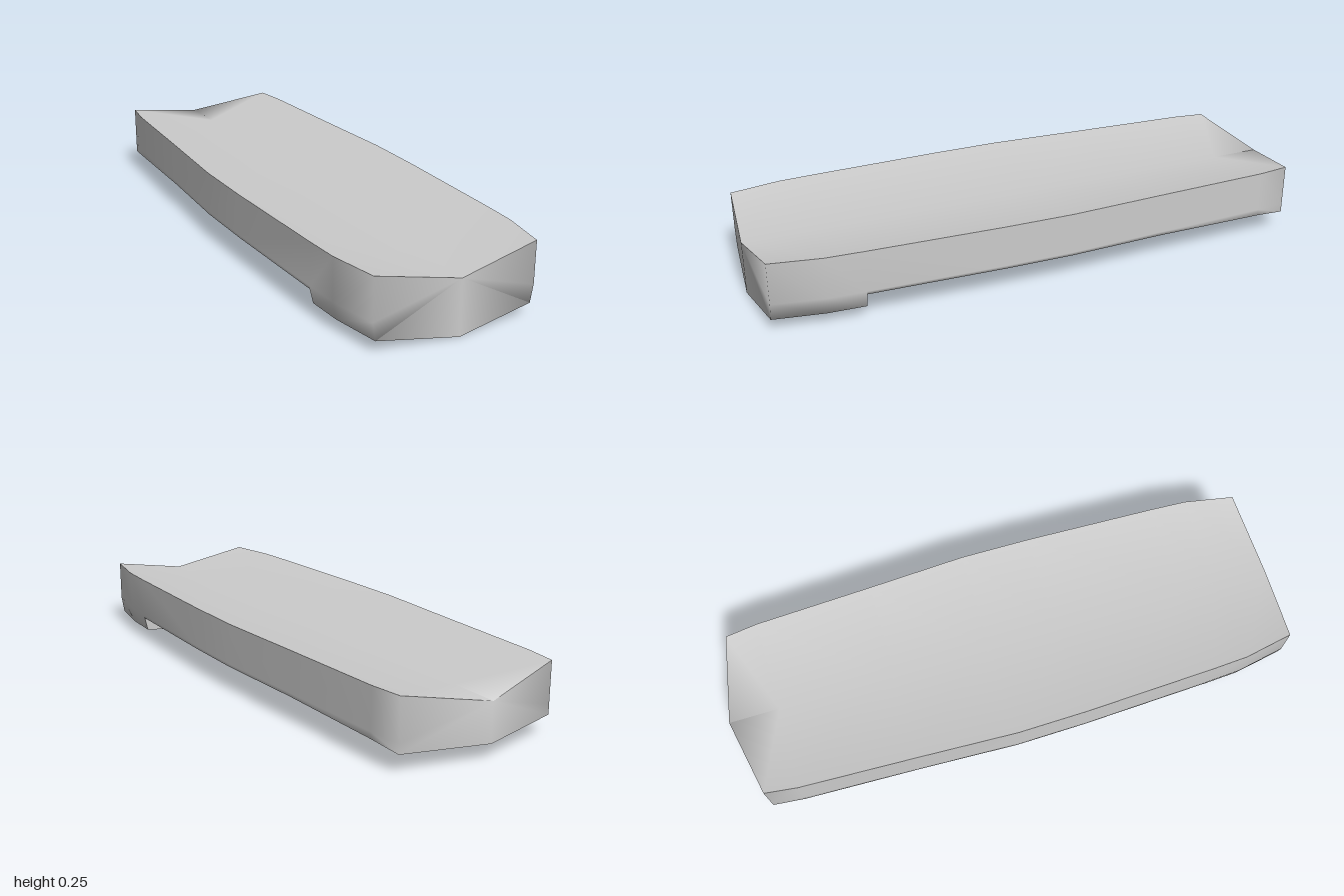
import * as THREE from 'three';
import { toCreasedNormals } from 'three/addons/utils/BufferGeometryUtils.js';

const material = new THREE.MeshStandardMaterial({ color: 0xcccccc });
const thin = new THREE.MeshStandardMaterial({ color: 0xcccccc, side: THREE.DoubleSide });

// Cross-sections from back to front: z, centre z, half width, chine inset, chine y, keel y
const stations = [
  [-0.935, -1, 0.295, 0, 0.065, 0.055],
  [-0.82, -0.82, 0.31, 0, 0.078, 0.055],
  [-0.4, -0.4, 0.328, 0, 0.088, 0.055],
  [-0.05, -0.05, 0.345, 0, 0.09, 0.055],
  [0.2, 0.2, 0.342, 0, 0.09, 0.055],
  [0.67, 0.67, 0.325, 0, 0.09, 0.055],
  [0.67, 0.67, 0.325, 0.012, 0.04, 0], // step down to the front skirt
  [0.8, 0.8, 0.318, 0.012, 0.04, 0],
  [0.975, 1, 0.285, 0.01, 0.04, 0],
];

// Shallow V-shaped body, lofted through the stations and capped at both ends
function bodyGeometry() {
  const pos = [], idx = [], n = 8;
  for (const [z, cz, w, inset, chineY, keelY] of stations) {
    const side = [[w, 0.245], [w, 0.1], [w - inset, chineY]];
    pos.push(0, 0.19, cz);
    for (const [x, y] of side) pos.push(x, y, z);
    pos.push(0, keelY, cz);
    for (const [x, y] of side.reverse()) pos.push(-x, y, z);
  }
  const last = (stations.length - 1) * n;
  for (let s = 0; s < last; s += n) {
    for (let j = 0; j < n; j++) {
      const k = (j + 1) % n;
      const a = s + j, b = s + k, c = s + n + k, d = s + n + j;
      // diagonals mirrored about the centre line
      if (j < n / 2) idx.push(a, d, b, b, d, c);
      else idx.push(a, d, c, a, c, b);
    }
  }
  for (let j = 1; j < n - 1; j++) {
    idx.push(0, j, j + 1);
    idx.push(last, last + j + 1, last + j);
  }
  const g = new THREE.BufferGeometry();
  g.setAttribute('position', new THREE.Float32BufferAttribute(pos, 3));
  g.setIndex(idx);
  return toCreasedNormals(g, 1.553);
}

// Straight square bar between two points
function bar(from, to, size) {
  const length = from.distanceTo(to);
  const mesh = new THREE.Mesh(new THREE.BoxGeometry(size, size, length), material);
  mesh.position.copy(from).add(to).multiplyScalar(0.5);
  mesh.lookAt(to);
  return mesh;
}

export function createModel() {
  const model = new THREE.Group();
  model.name = 'board';

  const body = new THREE.Mesh(bodyGeometry(), material);
  body.name = 'body';
  model.add(body);

  // Five rails under the body, bent up at the back, each with a small fin
  const rails = [[-0.22, 0.07], [-0.11, 0.04], [0, 0.031], [0.11, 0.04], [0.22, 0.07]];
  for (const [x, y] of rails) {
    const front = new THREE.Vector3(x, y, 0.68);
    const bend = new THREE.Vector3(x, y - 0.014, -0.885);
    const tip = new THREE.Vector3(x, y + 0.026, -0.92);
    const rail = new THREE.Group();
    rail.name = 'rail';
    rail.add(bar(front, bend, 0.011), bar(bend, tip, 0.011));
    model.add(rail);

    const shape = new THREE.Shape([
      new THREE.Vector2(0.05, 0.02),
      new THREE.Vector2(-0.045, 0.02),
      new THREE.Vector2(-0.04, -0.02),
    ]);
    const fin = new THREE.Mesh(new THREE.ShapeGeometry(shape), thin);
    fin.name = 'fin';
    fin.position.set(x, y - 0.007, 0.04);
    model.add(fin);
  }
  return model;
}
